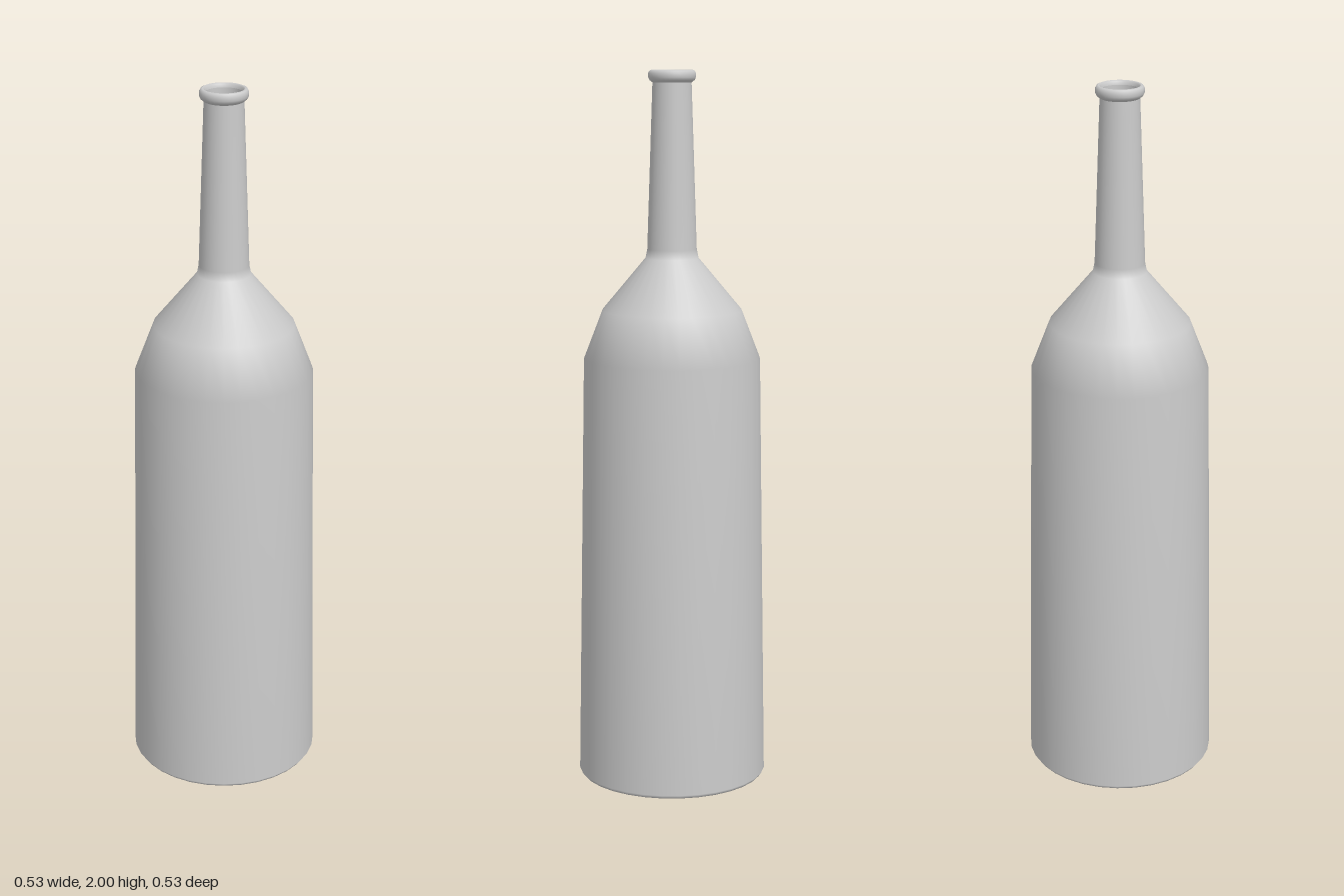
import * as THREE from 'three';

const SEGMENTS = 32;

// Revolve a profile of [radius, height] pairs around the y axis
function lathe(name, profile, material) {
  const points = profile.map(([r, y]) => new THREE.Vector2(r, y));
  const mesh = new THREE.Mesh(new THREE.LatheGeometry(points, SEGMENTS), material);
  mesh.name = name;
  return mesh;
}

export function createModel() {
  const group = new THREE.Group();
  group.name = 'bottle';
  const glass = new THREE.MeshStandardMaterial({ color: 0xcccccc, side: THREE.DoubleSide });

  // Outside: hollow conical base, tapering body, shoulder, neck
  group.add(lathe('outerShell', [
    [0, 0.12], [0.235, 0.008], [0.25, 0], [0.26, 0.002], [0.267, 0.012],
    [0.247, 1.205], [0.195, 1.34], [0.074, 1.485], [0.069, 1.51], [0.054, 1.966],
  ], glass));

  // Rounded lip around the mouth
  group.add(lathe('lip', [
    [0.054, 1.966], [0.062, 1.972], [0.066, 1.98], [0.066, 1.991],
    [0.062, 1.998], [0.057, 2], [0.052, 1.997], [0.05, 1.988],
  ], glass));

  // Inside wall, running from the mouth down to the raised floor
  group.add(lathe('innerShell', [
    [0.05, 1.988], [0.05, 1.96], [0.06, 1.51], [0.064, 1.48], [0.185, 1.335],
    [0.236, 1.2], [0.255, 0.03], [0.235, 0.02], [0, 0.132],
  ], glass));

  return group;
}
